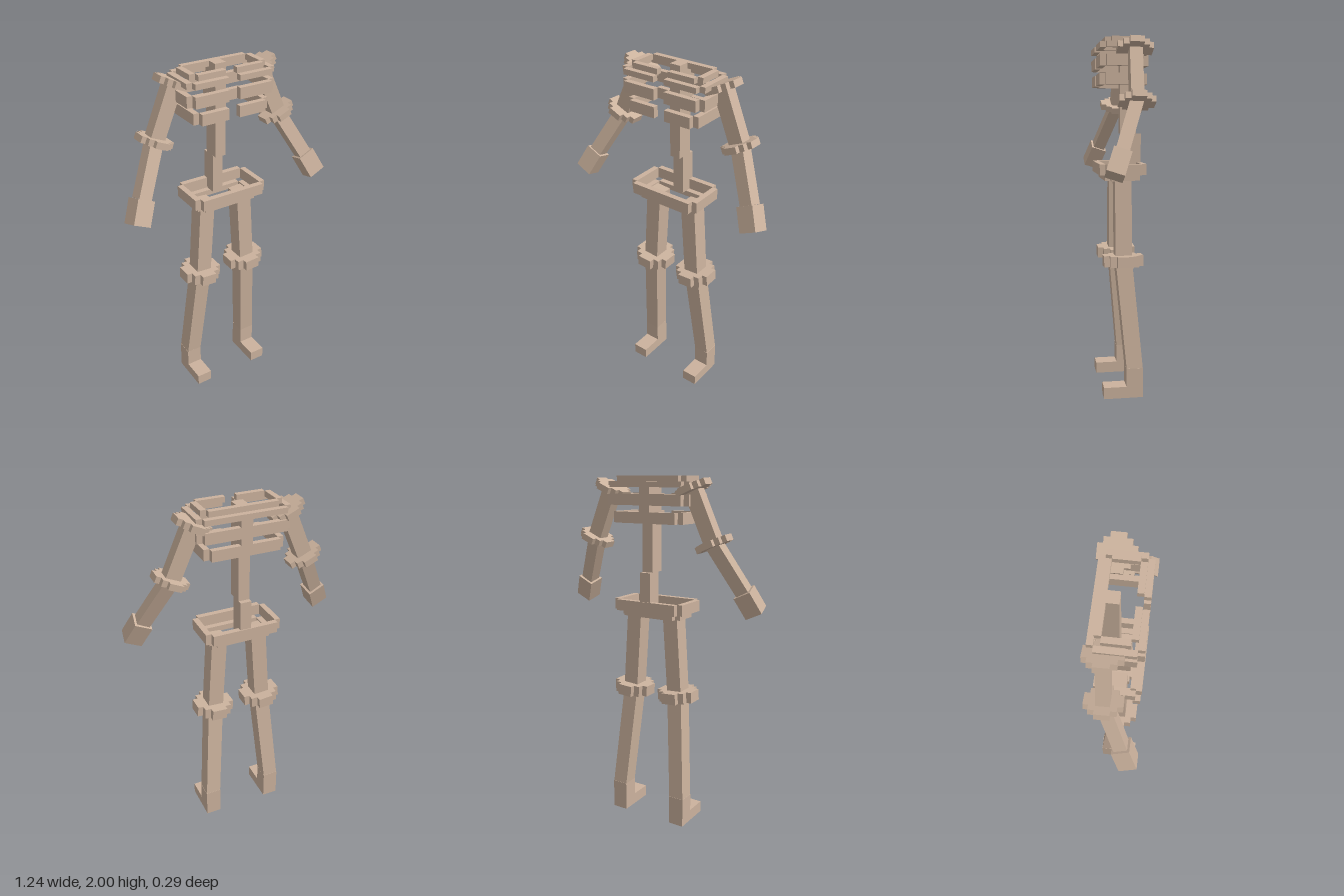
import * as THREE from 'three';

export function createModel() {
  const model = new THREE.Group();
  model.name = 'blockFigure';
  const tan = new THREE.MeshStandardMaterial({ color: 0xcbb29d });
  tan.name = 'tan';

  // Box given by its minimum and maximum corners
  function box(name, parent, x0, x1, y0, y1, z0, z1) {
    const mesh = new THREE.Mesh(new THREE.BoxGeometry(x1 - x0, y1 - y0, z1 - z0), tan);
    mesh.position.set((x0 + x1) / 2, (y0 + y1) / 2, (z0 + z1) / 2);
    mesh.name = name;
    parent.add(mesh);
    return mesh;
  }

  // Rectangular hoop with stepped corners, optionally open at the front centre
  const T = 0.032, GAP = 0.032;
  function hoop(name, y0, y1, hx, zBack, zFront, open) {
    const g = new THREE.Group();
    g.name = name;
    g.position.x = -0.007;
    const w = hx - T;
    box('backBar', g, -w, w, y0, y1, zBack, zBack + T);
    if (open) {
      for (const s of [-1, 1]) {
        box('frontBar', g, s < 0 ? -w : GAP, s < 0 ? -GAP : w, y0, y1, zFront - T, zFront);
      }
    } else {
      box('frontBar', g, -w, w, y0, y1, zFront - T, zFront);
    }
    for (const s of [-1, 1]) {
      box('sideBar', g, s < 0 ? -hx : w, s < 0 ? -w : hx, y0, y1, zBack + T, zFront - T);
    }
    model.add(g);
  }

  // Rib cage
  hoop('lowerRib', 1.75, 1.81, 0.222, -0.135, 0.125, true);
  hoop('middleRib', 1.845, 1.905, 0.257, -0.135, 0.125, true);
  hoop('upperRib', 1.94, 1.97, 0.257, -0.135, 0.125, true);
  hoop('topRib', 1.97, 2.0, 0.222, -0.103, 0.093, true);

  // Pelvis
  hoop('pelvis', 1.26, 1.322, 0.222, -0.135, 0.125, false);
  hoop('pelvisBase', 1.228, 1.26, 0.19, -0.103, 0.093, false);

  // Spine
  box('lowerSpine', model, -0.039, 0.025, 1.26, 1.485, -0.13, -0.04);
  box('middleSpine', model, -0.039, 0.025, 1.485, 2.0, -0.103, -0.01);
  box('upperBackbone', model, -0.039, 0.025, 1.75, 1.97, -0.135, -0.103);

  // Turns an object's downward axis along a direction, swinging sideways then forward
  function aim(obj, d) {
    const side = Math.atan2(d.x, -d.y);
    const fwd = Math.atan2(d.z, Math.hypot(d.x, d.y));
    obj.rotation.set(-fwd, 0, side, 'ZXY');
  }

  // Square beam between two points
  function limb(name, a, b, w, depth) {
    const d = b.clone().sub(a);
    const mesh = new THREE.Mesh(new THREE.BoxGeometry(w, d.length(), depth), tan);
    mesh.position.copy(a).add(b).multiplyScalar(0.5);
    aim(mesh, d);
    mesh.name = name;
    model.add(mesh);
  }

  // Flat joint plate with stepped corners
  function joint(name, at, d, size, height) {
    const g = new THREE.Group();
    g.name = name;
    g.position.copy(at);
    aim(g, d);
    for (const [w, l] of [[1, 0.4], [0.72, 0.72], [0.4, 1]]) {
      const hx = size * w / 2, hz = size * l / 2;
      box('jointStep', g, -hx, hx, -height / 2, height / 2, -hz, hz);
    }
    model.add(g);
  }

  for (const s of [-1, 1]) {
    const side = s > 0 ? 'left' : 'right';
    const v = (x, y, z) => new THREE.Vector3(s * x - 0.003, y, z);

    // Arm
    const shoulder = v(0.256, 1.935, -0.055), elbow = v(0.38, 1.655, -0.045);
    const wrist = v(0.515, 1.4, 0.052), handEnd = v(0.57, 1.285, 0.097);
    const armDir = elbow.clone().sub(shoulder);
    limb(side + 'UpperArm', shoulder, elbow, 0.085, 0.068);
    limb(side + 'Forearm', elbow, wrist, 0.075, 0.07);
    limb(side + 'Hand', wrist, handEnd, 0.1, 0.095);
    joint(side + 'Shoulder', shoulder, armDir, 0.19, 0.035);
    joint(side + 'Elbow', elbow, armDir, 0.19, 0.035);

    // Leg
    const hip = v(0.118, 1.25, -0.008), knee = v(0.15, 0.778, -0.008);
    const ankle = v(0.2, 0.165, -0.063);
    limb(side + 'Thigh', hip, knee, 0.09, 0.093);
    limb(side + 'Shin', knee, ankle, 0.09, 0.092);
    joint(side + 'Knee', knee, knee.clone().sub(hip), 0.222, 0.062);

    // Foot
    const cx = ankle.x;
    box(side + 'Heel', model, cx - 0.046, cx + 0.046, 0, 0.172, -0.11, -0.016);
    box(side + 'Toe', model, cx - 0.046, cx + 0.046, 0, 0.066, -0.016, 0.112);
  }
  return model;
}
